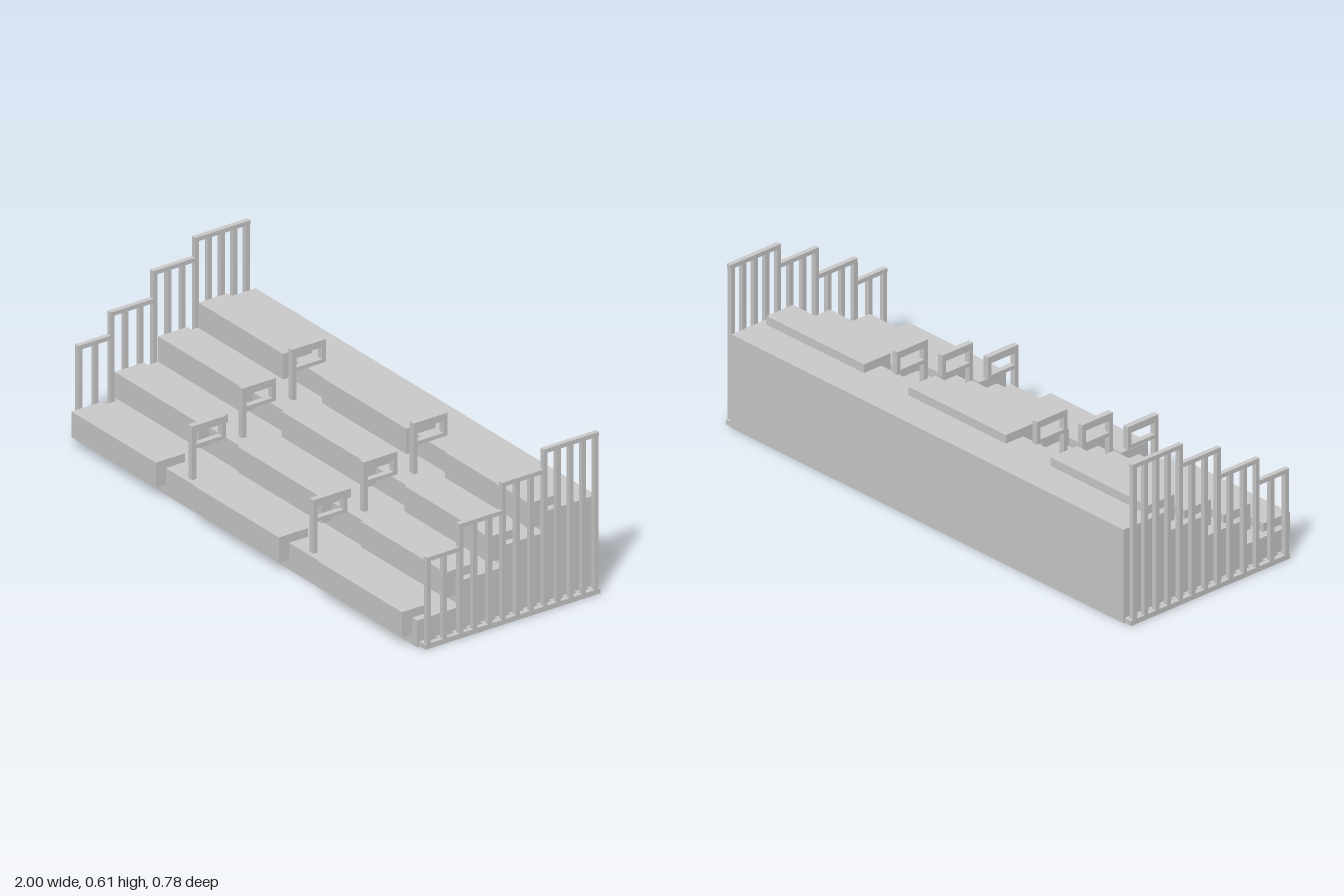
import * as THREE from 'three';

const material = new THREE.MeshStandardMaterial({ color: 0xcccccc });

// Box given by its min/max extents on each axis
function box(parent, name, [x0, x1], [y0, y1], [z0, z1]) {
  const mesh = new THREE.Mesh(new THREE.BoxGeometry(x1 - x0, y1 - y0, z1 - z0), material);
  mesh.position.set((x0 + x1) / 2, (y0 + y1) / 2, (z0 + z1) / 2);
  mesh.name = name;
  parent.add(mesh);
}

// Side profile of [z, y] points, extruded along x from x0 to x1
function profile(parent, name, points, x0, x1) {
  const shape = new THREE.Shape(points.map(([z, y]) => new THREE.Vector2(-z, y)));
  const geo = new THREE.ExtrudeGeometry(shape, { depth: x1 - x0, bevelEnabled: false });
  geo.rotateY(Math.PI / 2);
  const mesh = new THREE.Mesh(geo, material);
  mesh.position.x = x0;
  mesh.name = name;
  parent.add(mesh);
}

const BACK = -0.391;
const steps = [ // front z and top y of each tier
  { z: 0.352, y: 0.1 }, { z: 0.168, y: 0.196 }, { z: -0.012, y: 0.276 }, { z: -0.176, y: 0.353 },
];

export function createModel() {
  const model = new THREE.Group();
  model.name = 'bleachers';

  // Solid stepped base
  const outline = [[BACK, 0], [steps[0].z, 0]];
  steps.forEach((s, i) => {
    outline.push([s.z, s.y]);
    outline.push([i < 3 ? steps[i + 1].z : BACK, s.y]);
  });
  profile(model, 'steppedBase', outline, -0.968, 0.968);

  // L-shaped bench seats: three per tier, hooked over the step edge
  const seatFronts = [0.394, 0.215, 0.034, -0.134];
  steps.forEach((s, i) => {
    const f = seatFronts[i], top = s.y + 0.032;
    for (const cx of [-0.7, 0, 0.7]) {
      profile(model, 'benchSeat', [
        [f, top - 0.095], [f, top], [f - 0.121, top],
        [f - 0.121, s.y], [f - 0.042, s.y], [f - 0.042, top - 0.095],
      ], cx - 0.24, cx + 0.24);
    }
  });

  // Aisle handrails: a tall front post carrying a small loop
  const handrails = [[0.335, 0.3], [0.127, 0.381], [-0.08, 0.466]];
  for (const cx of [-0.345, 0.345]) {
    handrails.forEach(([f, top], i) => {
      const rail = new THREE.Group();
      rail.name = 'aisleHandrail';
      const x = [cx - 0.011, cx + 0.011], b = f - 0.14;
      box(rail, 'handrailPost', x, [steps[i].y, top], [f - 0.017, f]);
      box(rail, 'handrailTopBar', x, [top - 0.026, top], [b, f - 0.017]);
      box(rail, 'handrailLowerBar', x, [top - 0.085, top - 0.071], [b, f - 0.017]);
      box(rail, 'handrailBackPost', x, [top - 0.071, top - 0.026], [b, b + 0.016]);
      model.add(rail);
    });
  }

  // Stepped side fences
  const sections = [ // front z, back z, top y
    [0.335, 0.2, 0.342], [0.2, 0.023, 0.428], [0.023, -0.15, 0.531], [-0.15, -0.38, 0.605],
  ];
  const balusters = [0.326, 0.259, 0.192, 0.134, 0.072, 0.0145, -0.043,
    -0.102, -0.158, -0.212, -0.265, -0.317, -0.369];
  for (const side of [-1, 1]) {
    const fence = new THREE.Group();
    fence.name = side > 0 ? 'leftFence' : 'rightFence';
    const x = side > 0 ? [0.982, 1] : [-1, -0.982];
    box(fence, 'bottomRail', x, [0, 0.019], [-0.386, 0.34]);
    for (const [f, b, top] of sections) box(fence, 'topRail', x, [top - 0.016, top], [b, f]);
    for (const z of balusters) {
      const top = sections.find(([f, b]) => z < f && z > b)[2];
      box(fence, 'baluster', x, [0.019, top - 0.016], [z - 0.0085, z + 0.0085]);
      // Small bracket tying the fence to the base
      box(fence, 'fenceBracket', side > 0 ? [0.968, 0.982] : [-0.982, -0.968],
        [0, 0.019], [z - 0.016, z + 0.016]);
    }
    model.add(fence);
  }
  return model;
}
